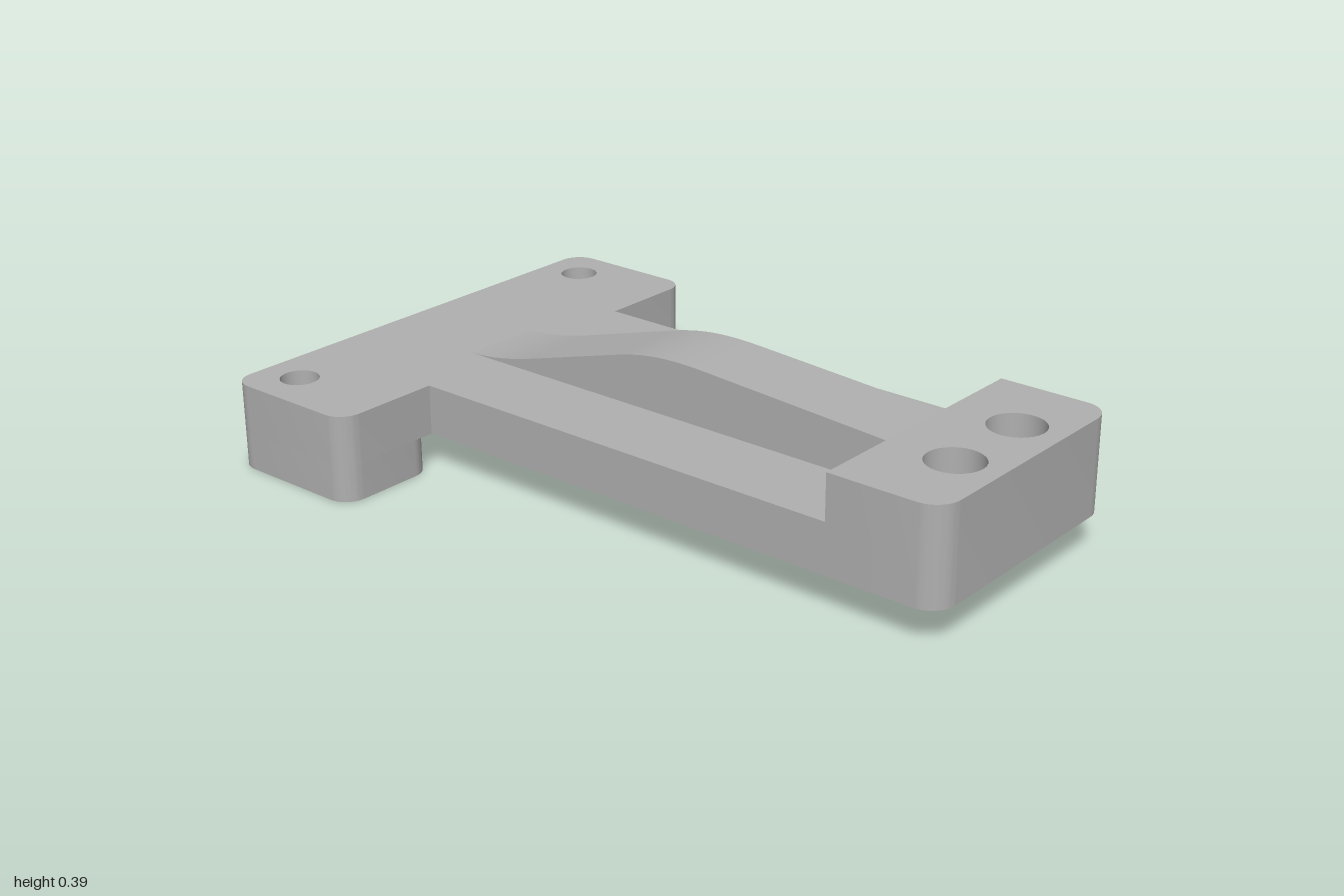
import * as THREE from 'three';
import { toCreasedNormals } from 'three/addons/utils/BufferGeometryUtils.js';

const BASE = 0.1, DECK = 0.235, PAD = 0.357;

// Outline from [x, z, cornerRadius] points, drawn counter-clockwise seen from above
function outline(points, holes = []) {
  const shape = new THREE.Shape();
  const n = points.length;
  points.forEach(([x, z, r], i) => {
    const corner = new THREE.Vector2(x, -z);
    const toward = ([px, pz]) =>
      new THREE.Vector2(px, -pz).sub(corner).setLength(r).add(corner);
    const a = toward(points[(i + n - 1) % n]);
    const b = toward(points[(i + 1) % n]);
    if (i === 0) shape.moveTo(a.x, a.y);
    else shape.lineTo(a.x, a.y);
    if (r > 0) {
      // true quarter circle approximated by a cubic
      const c1 = a.clone().lerp(corner, 0.5523), c2 = b.clone().lerp(corner, 0.5523);
      shape.bezierCurveTo(c1.x, c1.y, c2.x, c2.y, b.x, b.y);
    }
  });
  shape.closePath();
  for (const [x, z, r] of holes) {
    shape.holes.push(new THREE.Path().absarc(x, -z, r, 0, Math.PI * 2, true));
  }
  return shape;
}

// Vertical slab between two heights
function slab(shape, y0, y1) {
  const geo = new THREE.ExtrudeGeometry(shape, { depth: y1 - y0, bevelEnabled: false, curveSegments: 14 });
  geo.rotateX(-Math.PI / 2).translate(0, y0, 0);
  return toCreasedNormals(geo, 0.6);
}

export function createModel() {
  const model = new THREE.Group();
  const grey = new THREE.MeshStandardMaterial({ color: 0xb0b0b0 });
  grey.name = 'grey';
  const add = (name, geo) => {
    const mesh = new THREE.Mesh(geo, grey);
    mesh.name = name;
    model.add(mesh);
  };

  // T-shaped deck with two mounting holes in the crossbar
  const w = 0.3625, e = 0.665, r = 0.06;
  const screws = [[-0.54, -0.88, 0.052], [0.54, -0.88, 0.052]];
  add('deck', slab(outline([
    [-w, 0.69, 0], [w, 0.69, 0], [w, -0.58, 0], [e, -0.58, r],
    [e, -1, r], [-e, -1, r], [-e, -0.58, r], [-w, -0.58, 0],
  ], screws), BASE, DECK));

  // Raised front pad with two larger holes
  add('frontPad', slab(outline([
    [-w, 1, 0.07], [w, 1, 0.07], [w, 0.69, 0], [-w, 0.69, 0],
  ], [[-0.125, 0.875, 0.074], [0.136, 0.875, 0.074]]), BASE, PAD));

  // Feet under both ends of the crossbar
  for (const [name, a, b, screw] of [
    ['rightFoot', -e, -0.367, screws[0]], ['leftFoot', 0.367, e, screws[1]],
  ]) {
    add(name, slab(outline([
      [a, -0.58, r], [b, -0.58, r], [b, -1, r], [a, -1, r],
    ], [screw]), 0, BASE));
  }

  // Curved spine running from the pad down to the crossbar
  const rib = new THREE.Shape();
  rib.moveTo(-0.66, DECK - 0.01);
  rib.lineTo(0.69, DECK - 0.01);
  rib.lineTo(0.69, 0.353);
  rib.lineTo(0.15, 0.385);
  rib.bezierCurveTo(0.03, 0.392, -0.04, 0.386, -0.13, 0.362);
  rib.lineTo(-0.43, 0.276);
  rib.bezierCurveTo(-0.52, 0.25, -0.58, 0.239, -0.66, DECK);
  rib.closePath();
  const ribGeo = new THREE.ExtrudeGeometry(rib, { depth: 0.225, bevelEnabled: false, curveSegments: 14 });
  ribGeo.rotateY(-Math.PI / 2).translate(0.1, 0, 0);
  add('spine', toCreasedNormals(ribGeo, 0.6));

  return model;
}
